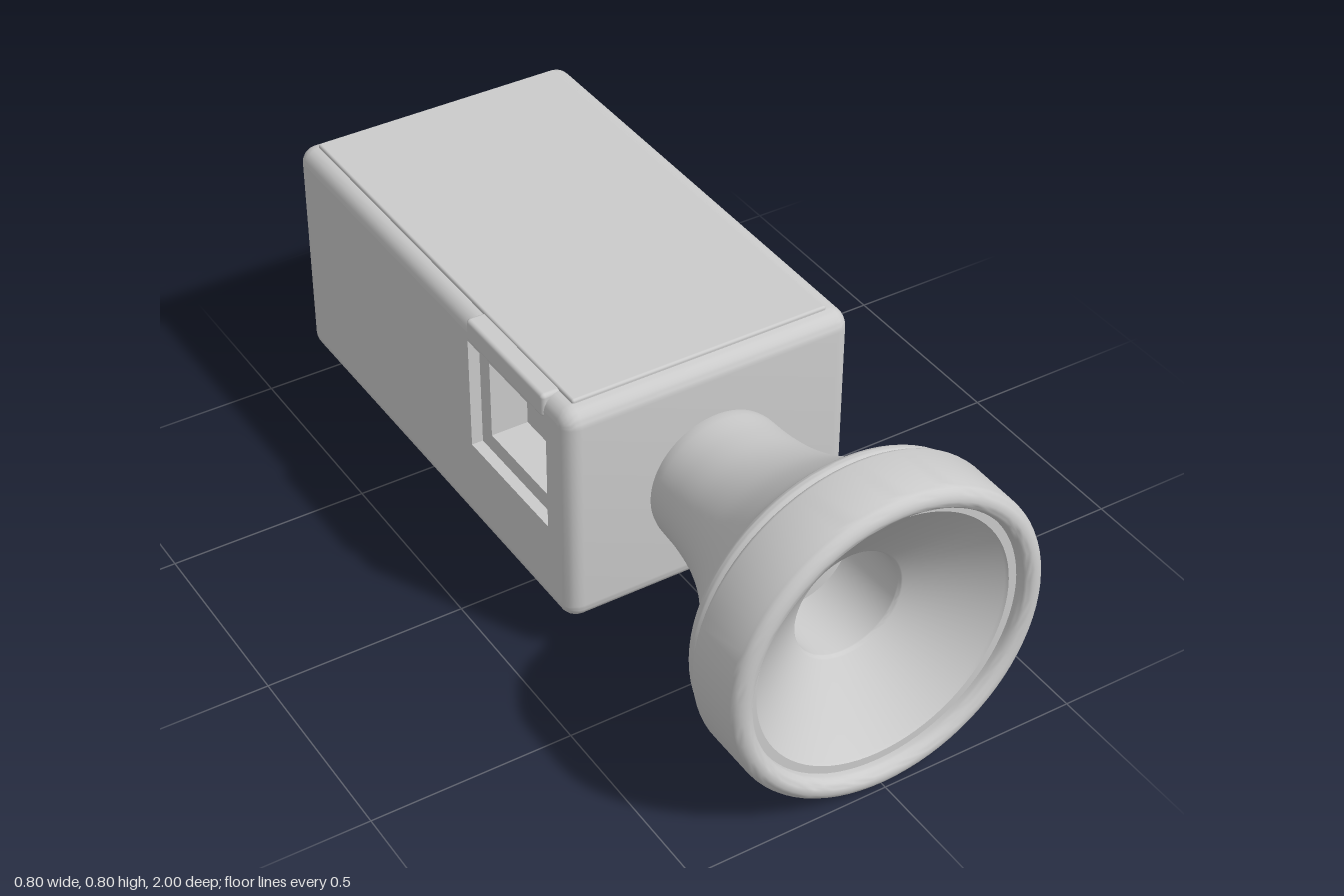
import * as THREE from 'three';
import { toCreasedNormals } from 'three/addons/utils/BufferGeometryUtils.js';
import { RoundedBoxGeometry } from 'three/addons/geometries/RoundedBoxGeometry.js';

const material = new THREE.MeshStandardMaterial({ color: 0xcccccc });
const W = 0.375, Y0 = 0.11, Y1 = 0.703, Z0 = -1, Z1 = 0.29; // body limits
const BEVEL = 0.04, CORNER = 0.045, AXIS_Y = 0.405;

function add(parent, name, geometry) {
  const mesh = new THREE.Mesh(geometry, material);
  mesh.name = name;
  parent.add(mesh);
  return mesh;
}

// Rounded rectangle from limits; r = 0 gives a plain one
function rect(a0, a1, b0, b1, r = 0, S = THREE.Shape) {
  const s = new S();
  if (!r) {
    s.moveTo(a0, b0).lineTo(a1, b0).lineTo(a1, b1).lineTo(a0, b1).closePath();
    return s;
  }
  s.absarc(a1 - r, b0 + r, r, -Math.PI / 2, 0);
  s.absarc(a1 - r, b1 - r, r, 0, Math.PI / 2);
  s.absarc(a0 + r, b1 - r, r, Math.PI / 2, Math.PI);
  s.absarc(a0 + r, b0 + r, r, Math.PI, Math.PI * 1.5);
  s.closePath();
  return s;
}

// Side-facing ring in the z-y plane, front face at x, running inward (+x)
function sideRing(outer, inner, x, depth) {
  const s = rect(...outer);
  s.holes.push(rect(...inner, 0, THREE.Path));
  return new THREE.ExtrudeGeometry(s, { depth, bevelEnabled: false })
    .rotateY(-Math.PI / 2).translate(x + depth, 0, 0);
}

const box = (x0, x1, y0, y1, z0, z1, r) =>
  new RoundedBoxGeometry(x1 - x0, y1 - y0, z1 - z0, 3, r)
    .translate((x0 + x1) / 2, (y0 + y1) / 2, (z0 + z1) / 2);

const lathe = (points, segments) => toCreasedNormals(
  new THREE.LatheGeometry(points.map(([r, y]) => new THREE.Vector2(r, y)), segments), 0.55);

// Points of a quarter round between two angles in the (radius, axis) plane
const arc = (r, y, rad, a0, a1, n = 6) => Array.from({ length: n + 1 }, (_, i) => {
  const a = a0 + (a1 - a0) * i / n;
  return [r + rad * Math.cos(a), y + rad * Math.sin(a)];
});

// Body shell, left open on its flat latch side and flat underside
function bodyShell() {
  const g = new THREE.ExtrudeGeometry(rect(Z0, Z1, Y0, Y1, CORNER), {
    depth: 2 * (W - BEVEL), bevelSize: BEVEL, bevelThickness: BEVEL,
    bevelOffset: -BEVEL, bevelSegments: 5, curveSegments: 5,
  }).rotateY(-Math.PI / 2).translate(W - BEVEL, 0, 0);
  const p = g.getAttribute('position'), kept = [];
  for (let i = 0; i < p.count; i += 3) {
    const tri = [i, i + 1, i + 2];
    const side = tri.every(k => p.getX(k) < -W + 1e-4);
    const bottom = tri.every(k => p.getY(k) < Y0 + 1e-4);
    if (!side && !bottom) tri.forEach(k => kept.push(p.getX(k), p.getY(k), p.getZ(k)));
  }
  const out = new THREE.BufferGeometry();
  out.setAttribute('position', new THREE.Float32BufferAttribute(kept, 3));
  return toCreasedNormals(out, 0.55);
}

function createBody() {
  const body = new THREE.Group();
  body.name = 'body';
  add(body, 'bodyShell', bodyShell());
  add(body, 'lid', box(-0.335, 0.33, 0.66, 0.712, -0.96, 0.25, 0.006));

  // Latch side with its stepped window
  const recess = [-0.15, 0.2, 0.34, 0.64], opening = [-0.105, 0.155, 0.385, 0.6];
  const side = rect(Z0 + BEVEL, Z1 - BEVEL, Y0 + BEVEL, Y1 - BEVEL, CORNER - BEVEL);
  side.holes.push(rect(...recess, 0, THREE.Path));
  add(body, 'latchSide', new THREE.ShapeGeometry(side, 5)
    .rotateY(-Math.PI / 2).translate(-W, 0, 0));
  const backing = [-0.18, 0.23, 0.31, 0.66];
  add(body, 'recessWall', sideRing(backing, recess, -W + 0.001, 0.03));
  add(body, 'windowFrame', sideRing(backing, opening, -W + 0.03, 0.1));
  add(body, 'windowBack', box(-0.25, -0.23, 0.31, 0.66, -0.18, 0.23, 0.004));
  add(body, 'latchTab', box(-0.38, -0.325, 0.645, 0.706, -0.145, 0.195, 0.01));

  // Underside with five flared sockets
  const sockets = [[0.195, -0.25], [-0.195, -0.25], [0.195, -0.576], [-0.195, -0.576], [0, -0.83]];
  const bottom = rect(-W + BEVEL, W - BEVEL, Z0 + CORNER, Z1 - CORNER);
  const socket = lathe([[0, 0.07], [0.047, 0.07],
    ...arc(0.073, 0.026, 0.026, Math.PI, Math.PI * 1.5)], 32);
  for (const [x, z] of sockets) {
    bottom.holes.push(new THREE.Path().absarc(x, z, 0.073, 0, Math.PI * 2, true));
    add(body, 'socket', socket).position.set(x, Y0, z);
  }
  add(body, 'underside', new THREE.ShapeGeometry(bottom, 16)
    .rotateX(Math.PI / 2).translate(0, Y0, 0));
  return body;
}

function createHorn() {
  const horn = new THREE.Group();
  horn.name = 'horn';
  horn.position.y = AXIS_Y;

  // Flared outer bell
  const flare = new THREE.CatmullRomCurve3([[0.175, 0.32], [0.18, 0.4], [0.198, 0.5],
    [0.235, 0.6], [0.288, 0.69], [0.345, 0.765], [0.376, 0.787], [0.385, 0.805], [0.38, 0.825]]
    .map(([r, z]) => new THREE.Vector3(r, z, 0))).getPoints(40).map(v => [v.x, v.y]);
  add(horn, 'bell', lathe([[0, 0.302], [0.163, 0.302], [0.172, 0.308], ...flare,
    [0.365, 0.835]], 80).rotateX(Math.PI / 2));

  // Rounded rim, shallow dish and blind throat
  const q = Math.PI / 2;
  add(horn, 'rimAndDish', lathe([[0.36, 0.83],
    ...arc(0.388, 0.842, 0.012, -q, 0, 4), ...arc(0.37, 0.97, 0.03, 0, q),
    ...arc(0.37, 0.975, 0.025, q, 2 * q),
    [0.345, 0.965], [0.325, 0.965], [0.32, 0.958],
    ...arc(0.15, 0.82, 0.015, q * 1.4, 2 * q, 4),
    [0.135, 0.64], [0, 0.64]], 80).rotateX(Math.PI / 2));

  add(horn, 'neck', new THREE.CylinderGeometry(0.145, 0.145, 0.05, 48)
    .rotateX(Math.PI / 2).translate(0, 0, 0.295));
  return horn;
}

export function createModel() {
  const model = new THREE.Group();
  model.name = 'hornSpeaker';
  model.add(createBody(), createHorn());
  return model;
}
